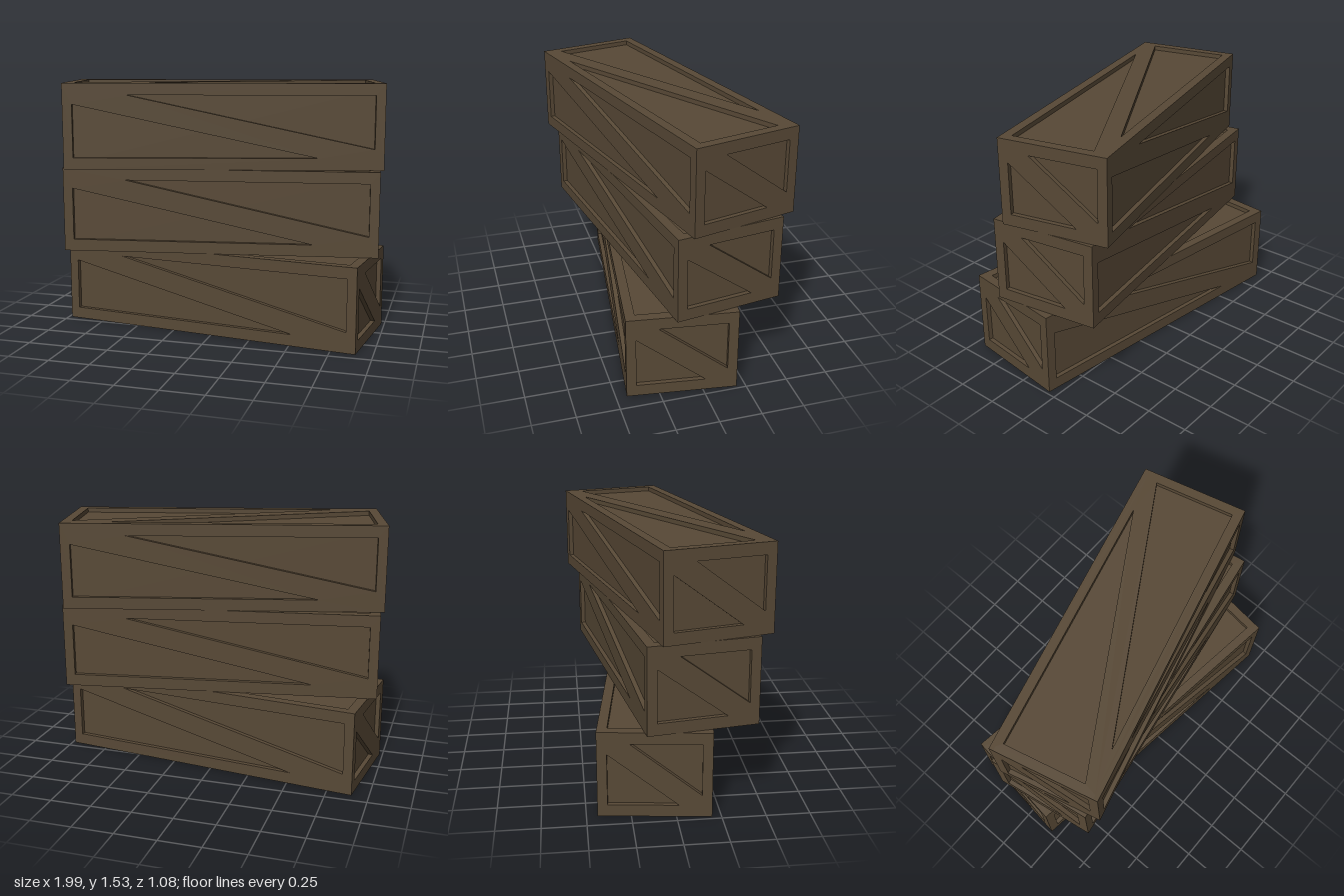
import * as THREE from 'three';

const W = 1.896, H = 0.51, D = 0.64; // crate size
const T = 0.027;                     // board thickness
const RIM_X = 0.057, RIM_Y = 0.07;   // rim widths

// Rim and diagonal brace in one plate: a rectangle with two triangular openings.
// w, h: plate size; a, b: half size of the opening; slope, gap: brace line and half height
function braceGeometry(w, h, a, b, slope, gap, mirror) {
  const shape = new THREE.Shape([
    new THREE.Vector2(-w / 2, -h / 2), new THREE.Vector2(w / 2, -h / 2),
    new THREE.Vector2(w / 2, h / 2), new THREE.Vector2(-w / 2, h / 2),
  ]);
  for (const k of [1, -1]) {
    const points = [[-a, -b], [(b - gap) / slope, -b], [-a, slope * a - gap]];
    shape.holes.push(new THREE.Path(points.map(([x, y]) => new THREE.Vector2(k * mirror * x, k * y))));
  }
  return new THREE.ExtrudeGeometry(shape, { depth: T, bevelEnabled: false });
}

function createCrate(wood) {
  const crate = new THREE.Group();

  // recessed panels
  const core = new THREE.Mesh(new THREE.BoxGeometry(W - 2 * T, H - 2 * T, D - 2 * T), wood);
  core.name = 'recessedPanels';
  crate.add(core);

  const a = W / 2 - RIM_X, b = H / 2 - RIM_Y, c = D / 2 - RIM_X;
  const long = braceGeometry(W, H, a, b, 0.217, 0.0625, 1);
  const end = braceGeometry(D - 2 * T, H, c, b, 0.77, 0.08, 1);
  const lid = braceGeometry(W - 2 * T, D - 2 * T, a, c, 0.31, 0.056, -1);
  const base = braceGeometry(W - 2 * T, D - 2 * T, a, c, 0.31, 0.056, 1);

  // braced boards on the six sides: name, geometry, distance, tilt, turn
  const sides = [
    ['frontBrace', long, D / 2, 0, 0],
    ['backBrace', long, D / 2, 0, Math.PI],
    ['leftEndBrace', end, W / 2, 0, Math.PI / 2],
    ['rightEndBrace', end, W / 2, 0, -Math.PI / 2],
    ['topBrace', lid, H / 2, -Math.PI / 2, 0],
    ['bottomBrace', base, H / 2, Math.PI / 2, 0],
  ];
  for (const [name, geometry, distance, tilt, turn] of sides) {
    const board = new THREE.Mesh(geometry, wood);
    board.name = name;
    board.rotation.set(tilt, turn, 0);
    board.translateZ(distance - T);
    crate.add(board);
  }
  return crate;
}

export function createModel() {
  const wood = new THREE.MeshStandardMaterial({ color: 0x584936 });
  wood.name = 'darkWood';

  // stack of three crates, each turned a little differently
  const stack = new THREE.Group();
  stack.name = 'crateStack';
  const turns = [['bottomCrate', -7.3], ['middleCrate', 9.1], ['topCrate', 14]];
  turns.forEach(([name, degrees], i) => {
    const crate = createCrate(wood);
    crate.name = name;
    crate.position.y = H * (i + 0.5);
    crate.rotation.y = THREE.MathUtils.degToRad(degrees);
    stack.add(crate);
  });
  return stack;
}
